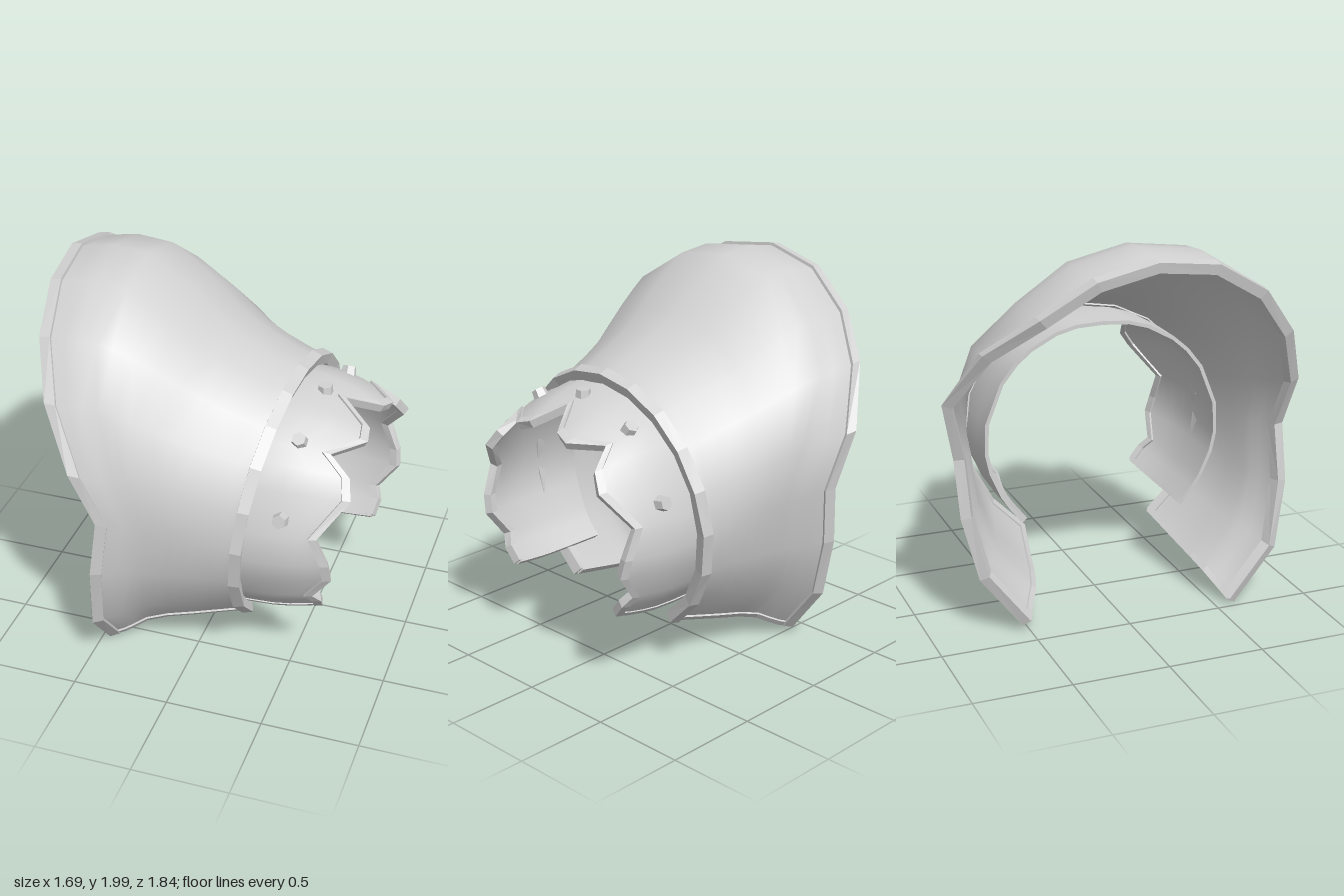
import * as THREE from 'three';

const steel = new THREE.MeshStandardMaterial({ color: 0xd2d2d2 });
steel.name = 'greySteel';
const V = (x, y, z) => new THREE.Vector3(x, y, z);
const CY = 0.87; // height of the guard's axis, which runs along x
const rad = THREE.MathUtils.degToRad;

// Samples a list of [position, value] pairs
function sample(list, s) {
  let i = 0;
  while (i < list.length - 2 && s > list[i + 1][0]) i++;
  const [a, b] = [list[i], list[i + 1]];
  return a[1] + (b[1] - a[1]) * (s - a[0]) / (b[0] - a[0]);
}

// Closed plate from a grid of points: rows run towards -x, columns around the axis
function plate(name, grid, out, inn, smooth) {
  const nv = grid.length, nu = grid[0].length;
  const outer = [], inner = [];
  for (let v = 0; v < nv; v++) for (let u = 0; u < nu; u++) {
    const du = grid[v][Math.min(u + 1, nu - 1)].clone().sub(grid[v][Math.max(u - 1, 0)]);
    const dv = grid[Math.min(v + 1, nv - 1)][u].clone().sub(grid[Math.max(v - 1, 0)][u]);
    const n = dv.cross(du).normalize();
    outer.push(grid[v][u].clone().addScaledVector(n, out));
    inner.push(grid[v][u].clone().addScaledVector(n, -inn));
  }
  const id = (v, u) => v * nu + u;
  const group = new THREE.Group();
  group.name = name;
  const add = (part, pts, index, flat) => {
    let g = new THREE.BufferGeometry().setFromPoints(pts);
    g.setIndex(index);
    if (flat) g = g.toNonIndexed();
    g.computeVertexNormals();
    const m = new THREE.Mesh(g, steel);
    m.name = part;
    group.add(m);
  };
  const front = [], back = [];
  for (let v = 0; v < nv - 1; v++) for (let u = 0; u < nu - 1; u++) {
    const a = id(v, u), b = id(v, u + 1), c = id(v + 1, u + 1), d = id(v + 1, u);
    front.push(a, d, c, a, c, b);
    back.push(a, c, d, a, b, c);
  }
  add('outerFace', outer, front, !smooth);
  add('innerFace', inner, back, !smooth);
  // walls round the border, followed in the same turn as the outer face
  const loop = [];
  for (let v = 0; v < nv - 1; v++) loop.push(id(v, 0));
  for (let u = 0; u < nu - 1; u++) loop.push(id(nv - 1, u));
  for (let v = nv - 1; v > 0; v--) loop.push(id(v, nu - 1));
  for (let u = nu - 1; u > 0; u--) loop.push(id(0, u));
  const N = outer.length, wall = [];
  loop.forEach((a, i) => {
    const b = loop[(i + 1) % loop.length];
    wall.push(a, b + N, b, a, a + N, b + N);
  });
  add('edgeWall', outer.concat(inner), wall, true);
  return group;
}

// Point at a set distance from a towards b
const toward = (a, b, d) => a.clone().addScaledVector(b.clone().sub(a).normalize(), d);

// Raised strips along the ends (rows) and sides (columns) of a grid
function startTrim(name, g, w, out, inn) {
  return plate(name, [g[0].map((p, u) => toward(p, g[1][u], -0.012)), g[0].map((p, u) => toward(p, g[1][u], w))], out, inn);
}
function endTrim(name, g, w, out, inn) {
  const a = g[g.length - 1], b = g[g.length - 2];
  return plate(name, [a.map((p, u) => toward(p, b[u], w)), a.map((p, u) => toward(p, b[u], -0.012))], out, inn);
}
function sideTrims(name, g, w, out, inn) {
  const n = g[0].length;
  return [
    plate(name + 'Back', g.map(r => [toward(r[0], r[1], -0.01), toward(r[0], r[1], w)]), out, inn),
    plate(name + 'Front', g.map(r => [toward(r[n - 1], r[n - 2], w), toward(r[n - 1], r[n - 2], -0.01)]), out, inn),
  ];
}

// Flared edge of the main shell, back to front over the top: x, y, z
const flare = [
  [-0.38, 0.06, -0.52], [-0.36, 0.33, -0.73], [-0.33, 0.65, -0.81], [-0.3, 0.95, -0.83],
  [-0.36, 1.25, -0.9], [-0.55, 1.53, -0.76], [-0.72, 1.72, -0.54], [-0.79, 1.89, -0.29], [-0.81, 1.96, 0],
  [-0.79, 1.92, 0.31], [-0.74, 1.76, 0.58], [-0.65, 1.52, 0.77], [-0.5, 1.22, 0.89],
  [-0.38, 0.95, 0.87], [-0.42, 0.65, 0.88], [-0.45, 0.3, 0.82], [-0.46, 0.03, 0.59],
].map(p => V(...p));
const sideFlare = [[0, 0], [0.2, 0.15], [0.4, 0.3], [0.6, 0.44], [0.75, 0.59], [0.88, 0.84], [1, 1]];
const topFlare = [[0, 0], [0.17, 0.17], [0.34, 0.4], [0.5, 0.74], [0.67, 1.04], [0.84, 1.08], [1, 1]];

function shellGrid() {
  const collar = flare.map((_, k) => {
    const t = rad(148 * (k - 8) / 8), turn = Math.sin(t);
    const r = 0.62 + 0.08 * ((k - 8) / 8) ** 2 + 0.02 * turn * turn;
    const y = CY + r * Math.cos(t), z = 0.065 + r * turn;
    return V(0.36 - 0.08 * z + 0.1 * (y - CY), y, z);
  });
  return [0, 0.1, 0.2, 0.3, 0.4, 0.5, 0.6, 0.68, 0.75, 0.83, 0.9, 0.95, 1].map(s => flare.map((e, u) => {
    const c = collar[u];
    const top = THREE.MathUtils.smoothstep(e.y, 0.9, 1.9);
    const f = THREE.MathUtils.lerp(sample(sideFlare, s), sample(topFlare, s), top);
    return V(c.x + (e.x - c.x) * s, c.y + (e.y - c.y) * f, c.z + (e.z - c.z) * f);
  }));
}

// Point on the cuff at angle t (degrees from the top) and distance x
const cuffTaper = [[0, 0], [0.4, 0], [0.5, 0.015], [0.6, 0.045], [0.7, 0.09], [0.82, 0.155]];
function cuffPoint(t, x, lift = 0) {
  const side = Math.min(Math.abs(t) / 90, 1);
  const r = 0.58 + 0.06 * side + 0.02 * Math.max(0, Math.abs(t) / 90 - 1) - sample(cuffTaper, x) * (1 - 0.4 * side) + lift;
  const z = 0.085 + r * Math.sin(rad(t));
  return V(x - 0.08 * z, CY + r * Math.cos(rad(t)), z);
}

// Toothed edge of the cuff on one side: angle, x
const teeth = [[0, 0.63], [14, 0.79], [25, 0.81], [40, 0.68], [50, 0.79], [62, 0.82],
  [83, 0.7], [98, 0.76], [108, 0.77], [121, 0.67], [128, 0.7], [137, 0.69]];

function cuffGrid() {
  const around = [...teeth.slice(1).reverse().map(([t, x]) => [-t, x]), ...teeth];
  return [0, 0.12, 0.25, 0.4, 0.6, 0.8, 1].map(s => around.map(([t, x]) => cuffPoint(t, x + (0.1 - x) * s)));
}

export function createModel() {
  const model = new THREE.Group();
  model.name = 'shoulderGuard';

  // main flared shell with its rims
  const shell = shellGrid();
  model.add(plate('flaredShell', shell, 0.006, 0.02, true));
  model.add(endTrim('flareRim', shell, 0.045, 0.022, 0.032));
  model.add(startTrim('collarRim', shell, 0.045, 0.032, 0.028));
  model.add(...sideTrims('shellLowerRim', shell, 0.025, 0.016, 0.03));

  // toothed cuff under the collar
  const cuff = cuffGrid();
  model.add(plate('cuff', cuff, 0.004, 0.016, true));
  model.add(startTrim('toothedRim', cuff, 0.03, 0.016, 0.028));
  model.add(...sideTrims('cuffLowerRim', cuff, 0.02, 0.01, 0.026));

  // six-sided rivets
  const rivetGeometry = new THREE.CylinderGeometry(0.036, 0.042, 0.05, 6).toNonIndexed();
  rivetGeometry.computeVertexNormals();
  for (const t of [-75, -37, 0, 37, 75]) {
    const rivet = new THREE.Mesh(rivetGeometry, steel);
    rivet.name = 'rivet';
    rivet.position.copy(cuffPoint(t, 0.54, 0.008));
    rivet.rotation.x = rad(t);
    model.add(rivet);
  }
  return model;
}
